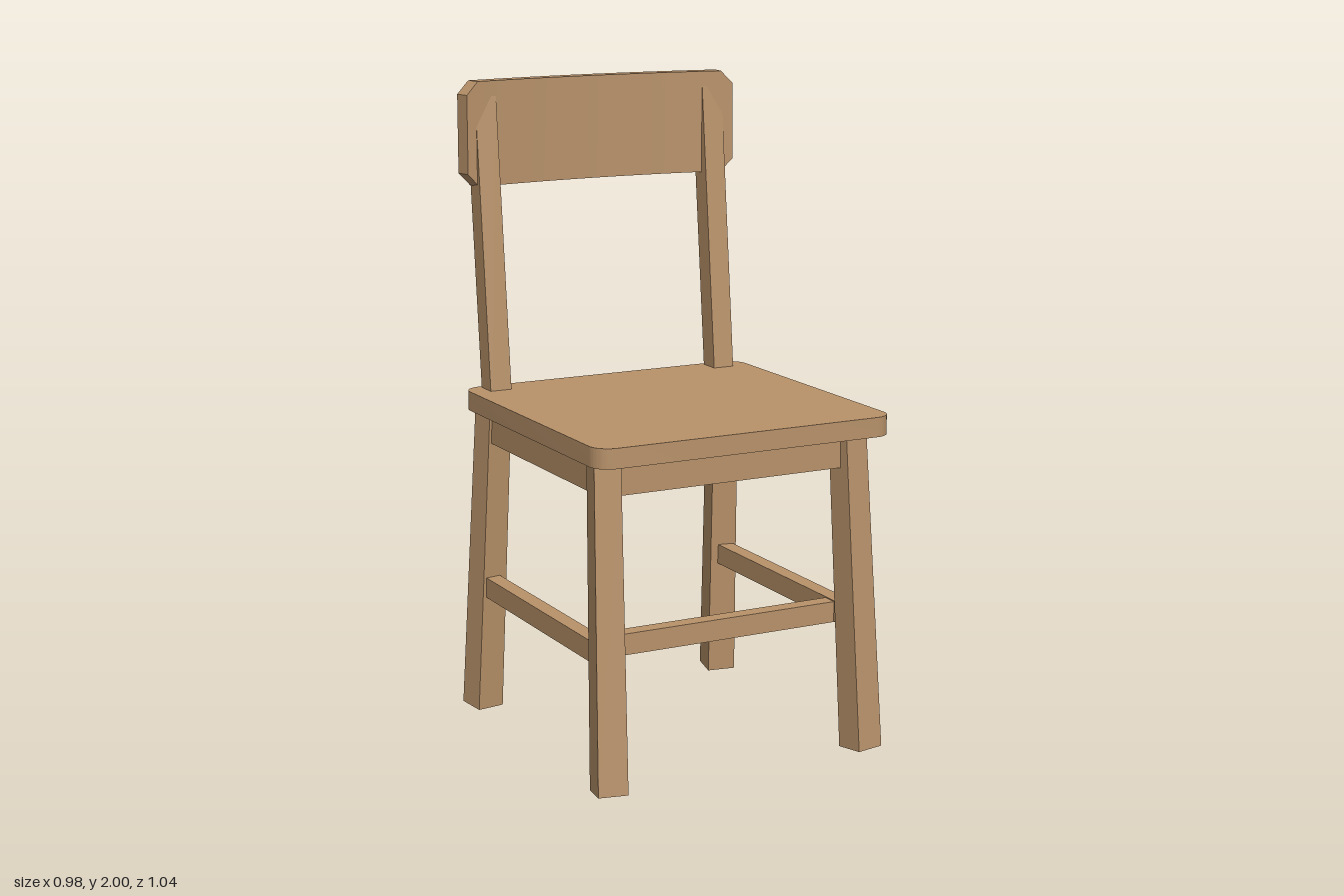
import * as THREE from 'three';
import { toCreasedNormals } from 'three/addons/utils/BufferGeometryUtils.js';

const wood = new THREE.MeshStandardMaterial({ color: 0xb8926a });
wood.name = 'wood';

export function createModel() {
  const chair = new THREE.Group();
  chair.name = 'chair';

  function add(name, geometry) {
    const mesh = new THREE.Mesh(geometry, wood);
    mesh.name = name;
    chair.add(mesh);
    return mesh;
  }

  function box(name, w, h, d, x, y, z) {
    add(name, new THREE.BoxGeometry(w, h, d)).position.set(x, y, z);
  }

  // Square bar between two points, turned about its own axis and tapered
  function bar(name, from, to, yaw, wFrom, wTo) {
    const a = new THREE.Vector3(...from);
    const dir = new THREE.Vector3(...to).sub(a);
    const length = dir.length();
    const geo = new THREE.BoxGeometry(1, length, 1);
    const p = geo.attributes.position;
    for (let i = 0; i < p.count; i++) {
      const w = p.getY(i) < 0 ? wFrom : wTo;
      p.setX(i, p.getX(i) * w);
      p.setZ(i, p.getZ(i) * w);
    }
    geo.rotateY(yaw);
    geo.computeVertexNormals();
    const mesh = add(name, geo);
    mesh.position.copy(a).addScaledVector(dir, 0.5);
    mesh.quaternion.setFromUnitVectors(new THREE.Vector3(0, 1, 0), dir.normalize());
  }

  // Seat: rounded rectangle slab
  const X = 0.49, F = 0.52, B = -0.44, R = 0.06;
  const s = new THREE.Shape();
  s.absarc(X - R, -B - R, R, 0, Math.PI / 2);
  s.absarc(-X + R, -B - R, R, Math.PI / 2, Math.PI);
  s.absarc(-X + R, -F + R, R, Math.PI, Math.PI * 1.5);
  s.absarc(X - R, -F + R, R, Math.PI * 1.5, Math.PI * 2);
  s.closePath();
  const seat = new THREE.ExtrudeGeometry(s, { depth: 0.06, bevelEnabled: false, curveSegments: 8 });
  seat.rotateX(-Math.PI / 2);
  add('seat', toCreasedNormals(seat, 0.6)).position.y = 0.99;

  for (const sx of [-1, 1]) {
    // Splayed legs
    for (const sz of [-1, 1]) {
      bar(sz > 0 ? 'frontLeg' : 'backLeg',
        [sx * 0.43, 0.006, sz * 0.456], [sx * 0.408, 1.005, sz * 0.387],
        sx * sz * 0.18, 0.091, 0.08);
    }
    // Leaning back posts, passing through the seat
    bar('backPost', [sx * 0.395, 0.97, -0.383], [sx * 0.395, 1.95, -0.478], 0, 0.07, 0.07);
    // Side rails
    box('sideApron', 0.05, 0.11, 0.74, sx * 0.408, 0.94, 0);
    box('sideStretcher', 0.05, 0.065, 0.8, sx * 0.42, 0.413, 0);
  }

  // Front rails
  box('frontApron', 0.76, 0.11, 0.05, 0, 0.935, 0.385);
  box('frontStretcher', 0.86, 0.065, 0.05, 0, 0.41, 0.322);

  // Backrest: curved board with clipped corners
  const n = 20, half = 0.468, clip = 0.04, height = 0.322;
  const rest = new THREE.BoxGeometry(2, height, 0.052, n, 1, 1);
  const p = rest.attributes.position;
  for (let i = 0; i < p.count; i++) {
    const u = p.getX(i), z = p.getZ(i);
    const end = Math.abs(u) > 0.99;
    const x = end ? Math.sign(u) * half : u * (half - clip) / (1 - 2 / n);
    if (end) p.setY(i, Math.sign(p.getY(i)) * (height / 2 - clip));
    p.setX(i, x - z * 0.4 * x);
    p.setZ(i, z + 0.2 * x * x);
  }
  add('backrest', toCreasedNormals(rest, 0.4)).position.set(0, 2 - height / 2, -0.498);

  return chair;
}
